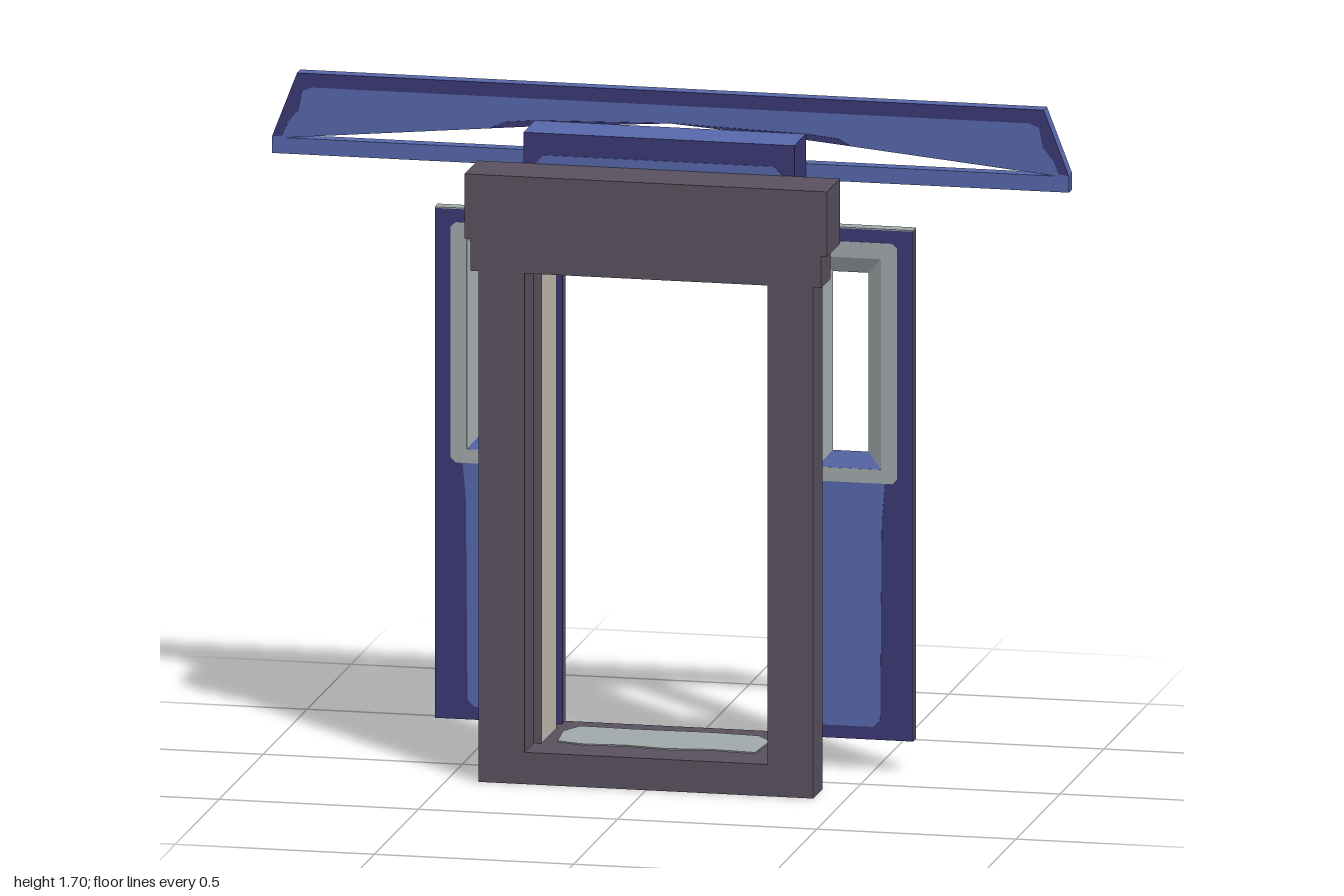
import * as THREE from 'three';

const paint = (name, color) => {
  const m = new THREE.MeshStandardMaterial({ color, side: THREE.DoubleSide });
  m.name = name;
  return m;
};

export function createModel() {
  const slate = paint('slate', 0x5a5260);
  const navy = paint('navy', 0x3a3874);
  const blue = paint('blue', 0x5868ac);
  const grey = paint('light grey', 0xa2aaac);
  const cream = paint('cream', 0xc5bfb3);

  const model = new THREE.Group();
  model.name = 'slidingDoorway';

  const add = (parent, name, geometry, material) => {
    const mesh = new THREE.Mesh(geometry, material);
    mesh.name = name;
    parent.add(mesh);
    return mesh;
  };

  // Box from its limits; materials may be listed as +x, -x, +y, -y, +z, -z
  const box = (parent, name, [x0, x1], [y0, y1], [z0, z1], material) => {
    const g = new THREE.BoxGeometry(Math.abs(x1 - x0), y1 - y0, z1 - z0);
    g.translate((x0 + x1) / 2, (y0 + y1) / 2, (z0 + z1) / 2);
    return add(parent, name, g, material);
  };

  // Outline in x and y extruded from z0 to z1
  const toPoints = (pts, s) => pts.map(([x, y]) => new THREE.Vector2(x * s, y));
  const plate = (parent, name, pts, z0, z1, material, s = 1, holes = []) => {
    const shape = new THREE.Shape(toPoints(pts, s));
    for (const h of holes) shape.holes.push(new THREE.Path(toPoints(h, s)));
    const g = new THREE.ExtrudeGeometry(shape, { depth: z1 - z0, bevelEnabled: false });
    g.translate(0, 0, z0);
    return add(parent, name, g, material);
  };
  const rect = (x0, x1, y0, y1) => [[x0, y0], [x1, y0], [x1, y1], [x0, y1]];
  // Rectangle with cut corners
  const cutRect = (x0, x1, y0, y1, c) => [
    [x0 + c, y0], [x1 - c, y0], [x1, y0 + c], [x1, y1 - c],
    [x1 - c, y1], [x0 + c, y1], [x0, y1 - c], [x0, y0 + c],
  ];

  // Front frame
  const frame = new THREE.Group();
  frame.name = 'frontFrame';
  model.add(frame);
  for (const s of [1, -1]) {
    box(frame, 'pillar', [0.305 * s, 0.42 * s], [0, 1.29], [0.075, 0.178], slate);
  }
  box(frame, 'frontSill', [-0.305, 0.305], [0, 0.08], [0.075, 0.178], slate);
  box(frame, 'lowerLintel', [-0.44, 0.44], [1.285, 1.365], [0.07, 0.178], slate);
  box(frame, 'upperLintel', [-0.455, 0.455], [1.365, 1.528], [0.03, 0.178], slate);

  // Threshold with its worn tread
  box(model, 'threshold', [-0.36, 0.36], [0, 0.08], [-0.177, 0.075],
    [slate, slate, slate, slate, slate, grey]);
  const tread = plate(model, 'tread', [
    [-0.25, -0.05], [-0.18, -0.07], [-0.08, -0.06], [0.03, -0.075], [0.14, -0.06], [0.25, -0.07],
    [0.26, 0.06], [0.22, 0.11], [0.1, 0.12], [-0.1, 0.115], [-0.23, 0.12], [-0.26, 0.06],
  ], 0, 0.003, grey);
  tread.rotation.x = -Math.PI / 2;
  tread.position.y = 0.08;

  // Passage behind the frame
  for (const s of [1, -1]) {
    box(model, 'jamb', [0.285 * s, 0.363 * s], [0.08, 1.325], [-0.097, 0.075],
      s > 0 ? [grey, cream, grey, slate, slate, slate] : [cream, grey, grey, slate, slate, slate]);
  }
  box(model, 'passageCeiling', [-0.285, 0.285], [1.277, 1.325], [-0.097, 0.075],
    [grey, grey, grey, grey, slate, slate]);

  // Header box carrying the canopy
  box(model, 'headerBox', [-0.34, 0.34], [1.325, 1.605], [-0.1, 0.03],
    [navy, navy, blue, slate, navy, slate]);
  plate(model, 'headerStripe', [[-0.31, 1.528], [0.31, 1.528], [0.29, 1.55], [-0.29, 1.55]],
    0.03, 0.032, blue);

  // Canopy board with a shallow arched slot
  const canopy = new THREE.Group();
  canopy.name = 'canopy';
  model.add(canopy);
  const slot = [[-0.97, 1.53], [0.97, 1.53], [0.36, 1.588], [0, 1.614], [-0.36, 1.588]];
  plate(canopy, 'canopyBoard',
    [[-1, 1.49], [1, 1.49], [1, 1.532], [0.937, 1.695], [-0.937, 1.695], [-1, 1.532]],
    -0.136, -0.102, blue, 1, [slot]);
  plate(canopy, 'canopyBack',
    [[-1, 1.49], [1, 1.49], [1, 1.532], [0.937, 1.695], [-0.937, 1.695], [-1, 1.532]],
    -0.138, -0.136, cream, 1, [slot]);
  plate(canopy, 'canopyBorder', [
    [-1, 1.532], [-0.975, 1.535], [-0.96, 1.57], [-0.935, 1.6], [-0.925, 1.65], [-0.9, 1.66],
    [0.9, 1.66], [0.925, 1.65], [0.935, 1.6], [0.96, 1.57], [0.975, 1.535], [1, 1.532],
    [0.937, 1.695], [-0.937, 1.695],
  ], -0.102, -0.1, navy);
  for (const s of [1, -1]) {
    plate(canopy, 'slotLip', [[0.45, 1.581], [0.36, 1.589], [0, 1.615], [0.34, 1.605], [0.42, 1.597]],
      -0.102, -0.1, navy, s);
  }

  // Window reveal, tapering to the middle of the door; the lower faces are blue
  const reveal = (parent, s, cx, cy, z0, z1) => {
    const zm = (z0 + z1) / 2;
    const ring = (w, h, z) => [[-w, -h], [w, -h], [w, h], [-w, h]].map(([x, y]) => [(cx + x) * s, cy + y, z]);
    const inner = ring(0.045, 0.225, zm);
    for (const outer of [ring(0.08, 0.265, z1), ring(0.08, 0.265, z0)]) {
      for (let i = 0; i < 4; i++) {
        const j = (i + 1) % 4;
        const q = [outer[i], outer[j], inner[j], inner[i]];
        // Keep every face turned away from the door's core
        if ((outer[0][2] > zm) !== (s > 0)) q.reverse();
        const g = new THREE.BufferGeometry();
        g.setAttribute('position', new THREE.Float32BufferAttribute(q.flat(), 3));
        g.setIndex([0, 1, 2, 0, 2, 3]);
        g.computeVertexNormals();
        add(parent, 'windowReveal', g, i === 0 ? blue : grey);
      }
    }
  };

  // Sliding door leaves
  const back = -0.177, front = -0.14;
  for (const s of [1, -1]) {
    const door = new THREE.Group();
    door.name = s > 0 ? 'leftDoor' : 'rightDoor';
    model.add(door);
    const windowHole = rect(0.36, 0.52, 0.76, 1.29);
    const trim = cutRect(0.32, 0.56, 0.725, 1.33, 0.012);
    plate(door, 'doorLeaf', rect(0.28, 0.6, 0.08, 1.365), back + 0.002, front - 0.002,
      [grey, slate], s, [windowHole]);
    box(door, 'doorTop', [0.28 * s, 0.6 * s], [1.363, 1.366], [back + 0.002, front], grey);
    plate(door, 'doorFace', rect(0.28, 0.6, 0.08, 1.365), front - 0.002, front - 0.001, navy, s, [trim]);
    plate(door, 'windowTrim', trim, front - 0.002, front, grey, s, [windowHole]);
    plate(door, 'lowerPanel', [
      [0.375, 0.112], [0.5, 0.112], [0.518, 0.13], [0.522, 0.63], [0.53, 0.725],
      [0.35, 0.725], [0.358, 0.63], [0.36, 0.13],
    ], front - 0.002, front, blue, s);
    plate(door, 'rearPanel', cutRect(0.32, 0.598, 0.1, 0.73, 0.03), back, back + 0.002, cream, s);
    plate(door, 'rearTopStrip', cutRect(0.33, 0.575, 1.325, 1.355, 0.01), back, back + 0.002, cream, s);
    plate(door, 'rearEdgePatch', rect(0.28, 0.316, 0.51, 0.7), back, back + 0.002, slate, s);
    reveal(door, s, 0.44, 1.025, back + 0.002, front - 0.001);
  }

  return model;
}
